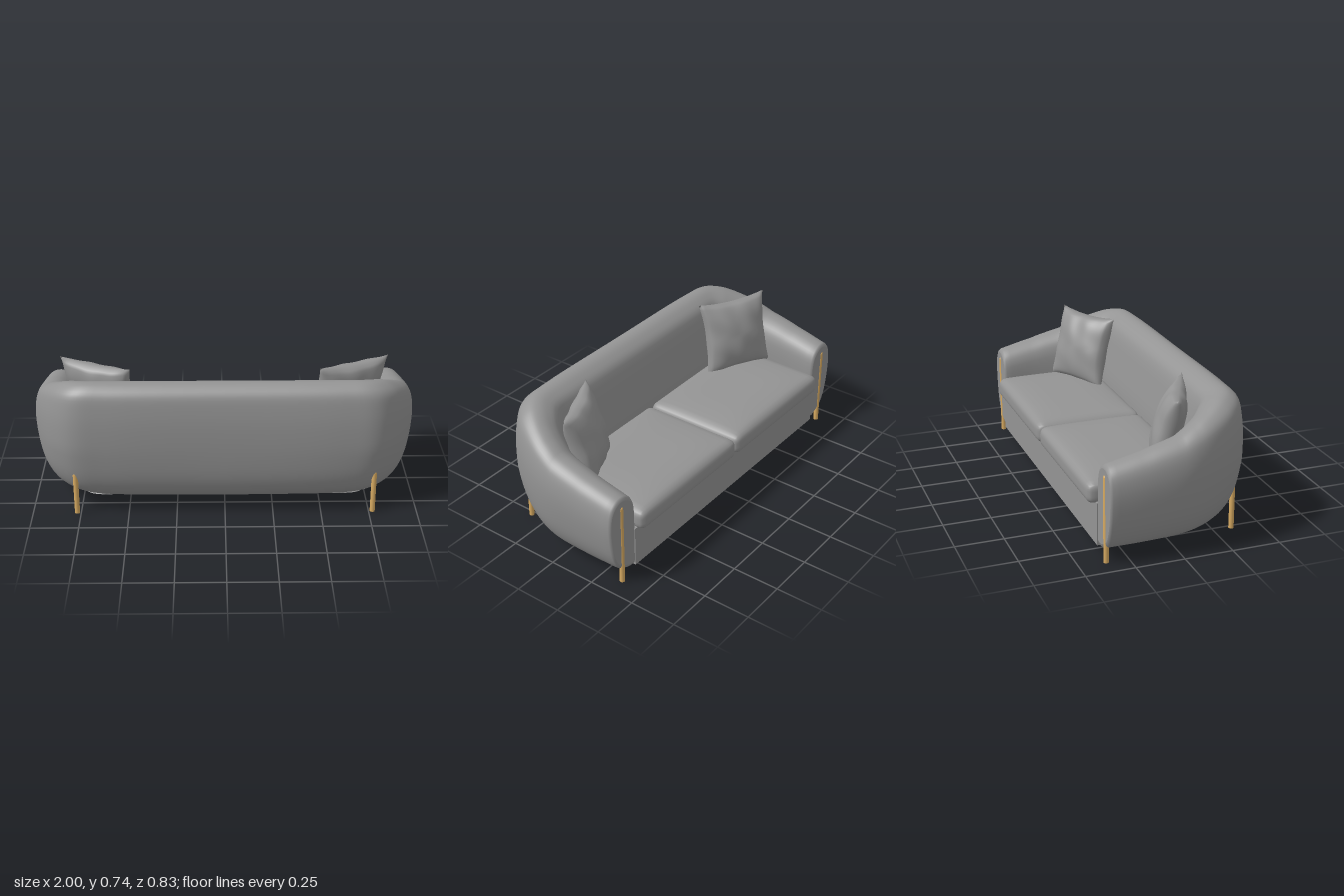
import * as THREE from 'three';
import { mergeVertices } from 'three/addons/utils/BufferGeometryUtils.js';

const V = (x, y, z = 0) => new THREE.Vector3(x, y, z);
const FLOOR = 0.048;

// weld a geometry's seams and give it smooth normals
function smooth(geo) {
  geo.deleteAttribute('uv');
  geo.deleteAttribute('normal');
  const g = mergeVertices(geo, 1e-4);
  g.computeVertexNormals();
  return g;
}

function addMesh(parent, name, geo, mat) {
  const m = new THREE.Mesh(geo, mat);
  m.name = name;
  parent.add(m);
  return m;
}

// plan outlines of one half, from the arm end round the corner to the middle of the back
const outerPlan = [[0.99, -0.358], [1, -0.18], [1, 0], [0.982, 0.1], [0.945, 0.2], [0.88, 0.31], [0.78, 0.388], [0.6, 0.41], [0, 0.413]];
const innerPlan = [[0.8, -0.358], [0.795, -0.18], [0.77, 0], [0.745, 0.06], [0.71, 0.11], [0.67, 0.135], [0.63, 0.15], [0.52, 0.15], [0, 0.15]];
const topHeight = [0.5, 0.542, 0.59, 0.63, 0.668, 0.705, 0.725, 0.73, 0.73];
const backBlend = [0, 0.05, 0.2, 0.4, 0.6, 0.8, 1, 1, 1];
const cornerTuck = [0, 0, 0, 0.1, 0.4, 0.8, 1, 0.4, 0];

// cross-sections: u runs from outer (0) to inner (1), v from bottom to top
const armSection = [[1, 0], [0.8, 0], [0.65, 0.025], [0.32, 0.11], [0.13, 0.28], [0.03, 0.5], [0, 0.7], [0.04, 0.84],
  [0.12, 0.92], [0.28, 0.98], [0.47, 1], [0.67, 0.98], [0.87, 0.91], [0.97, 0.8], [1, 0.5], [1, 0.2]];
const backSection = [[1, 0], [0.7, 0], [0.54, 0.015], [0.2, 0.12], [0.07, 0.25], [0.01, 0.44], [0, 0.66], [0.03, 0.81],
  [0.09, 0.925], [0.24, 0.985], [0.39, 1], [0.58, 0.975], [0.77, 0.9], [0.9, 0.68], [1, 0.45], [1, 0.2]];

// one wraparound shell: both arms and the back
function shellGeometry() {
  const curve = (pts) => new THREE.CatmullRomCurve3(pts);
  const outer = curve(outerPlan.map(([x, z]) => V(x, 0, z)));
  const inner = curve(innerPlan.map(([x, z]) => V(x, 0, z)));
  const params = curve(topHeight.map((h, i) => V(h, backBlend[i], cornerTuck[i])));
  const sectionCurves = [armSection, backSection].map((s) =>
    new THREE.CatmullRomCurve3(s.map(([u, v]) => V(u, v)), true));
  const N = 64, STEPS = 48;

  const half = [];
  for (let i = 0; i <= STEPS; i++) {
    const t = i / STEPS;
    const p = outer.getPoint(t), q = inner.getPoint(t), k = params.getPoint(t);
    const ring = [];
    for (let j = 0; j < N; j++) {
      const s = sectionCurves[0].getPoint(j / N).lerp(sectionCurves[1].getPoint(j / N), k.y);
      const v = Math.max(0, s.y);
      const tuck = s.x < 0.6 ? 0.1 * k.z * Math.max(0, 1 - v / 0.5) : 0;
      const pt = p.clone().lerp(q, s.x + tuck);
      pt.y = FLOOR + v * (k.x - FLOOR);
      ring.push(pt);
    }
    half.push(ring);
  }
  // rounded rim at the arm end
  const mid = half[0].reduce((a, b) => a.add(b), V(0, 0)).divideScalar(N);
  const rim = (scale, dz) => half[0].map((p) => p.clone().sub(mid).multiplyScalar(scale).add(mid).add(V(0, 0, -dz)));
  half.unshift(rim(0.9, 0.013), rim(0.96, 0.009));

  const mirrored = half.slice(0, -1).reverse().map((r) => r.map((p) => V(-p.x, p.y, p.z)));
  const rings = [...half, ...mirrored];
  const pos = [], idx = [];
  rings.forEach((r) => r.forEach((p) => pos.push(p.x, p.y, p.z)));
  for (let i = 0; i < rings.length - 1; i++) {
    for (let j = 0; j < N; j++) {
      const j2 = (j + 1) % N;
      const a = i * N + j, b = i * N + j2, c = a + N, d = b + N;
      idx.push(a, b, c, b, d, c);
    }
  }
  // flat arm ends
  [rings[0], rings[rings.length - 1]].forEach((ring, side) => {
    const start = pos.length / 3;
    pos.push(side ? -mid.x : mid.x, mid.y, ring[0].z);
    ring.forEach((p) => pos.push(p.x, p.y, p.z));
    for (let j = 0; j < N; j++) {
      const a = start + 1 + j, b = start + 1 + ((j + 1) % N);
      if (side) idx.push(start, a, b);
      else idx.push(start, b, a);
    }
  });
  const g = new THREE.BufferGeometry();
  g.setAttribute('position', new THREE.Float32BufferAttribute(pos, 3));
  g.setIndex(idx);
  g.computeVertexNormals();
  return g;
}

// rounded, crowned seat cushion
function cushionGeometry(w, h, d, r, crown) {
  const g = new THREE.BoxGeometry(w, h, d, 28, 8, 28);
  const pos = g.attributes.position, p = V(0, 0), core = V(0, 0);
  const lim = V(w / 2 - r, h / 2 - r, d / 2 - r);
  for (let i = 0; i < pos.count; i++) {
    p.fromBufferAttribute(pos, i);
    const a = 2 * p.x / w, b = 2 * p.z / d, top = p.y > 0;
    core.copy(p).clamp(lim.clone().negate(), lim);
    p.sub(core).normalize().multiplyScalar(r).add(core);
    if (top) p.y += crown * (1 - a ** 4) * (1 - b ** 4);
    pos.setXYZ(i, p.x, p.y, p.z);
  }
  return smooth(g);
}

// throw pillow with pinched corners and soft creases
function pillowGeometry(size, thick) {
  const g = new THREE.BoxGeometry(2, 2, 2, 28, 28, 1);
  const pos = g.attributes.position;
  for (let i = 0; i < pos.count; i++) {
    const x = pos.getX(i), y = pos.getY(i), s = Math.sign(pos.getZ(i));
    const fx = 1 - x * x, fy = 1 - y * y;
    const crease = 1 + 0.09 * Math.sin(9 * x + 3 * y * s) * Math.abs(y) + 0.07 * Math.sin(8 * y - 4 * x) * Math.abs(x);
    pos.setXYZ(i, x * size * (1 - 0.11 * fy), y * size * (1 - 0.09 * fx),
      s * thick * Math.pow(Math.max(0, fx * fy), 0.45) * crease);
  }
  return smooth(g);
}

export function createModel() {
  const model = new THREE.Group();
  model.name = 'sofa';
  const fabric = new THREE.MeshStandardMaterial({ color: 0x949494 });
  fabric.name = 'grey fabric';
  const wood = new THREE.MeshStandardMaterial({ color: 0xd8ab62 });
  wood.name = 'golden wood';

  addMesh(model, 'backAndArms', shellGeometry(), fabric);

  // seat base filling the inside of the shell
  const plan = [[0.81, -0.376], [0.81, -0.1], [0.78, 0.02], [0.72, 0.12], [0.64, 0.17]];
  const outline = [...plan, ...plan.slice().reverse().map(([x, z]) => [-x, z])];
  const base = new THREE.ExtrudeGeometry(new THREE.Shape(outline.map(([x, z]) => new THREE.Vector2(x, -z))),
    { depth: 0.22, bevelEnabled: false });
  base.rotateX(-Math.PI / 2);
  addMesh(model, 'seatBase', base, fabric).position.y = FLOOR - 0.001;

  const cushion = cushionGeometry(0.796, 0.108, 0.575, 0.035, 0.022);
  const pillow = pillowGeometry(0.205, 0.075);
  const frontLeg = new THREE.CapsuleGeometry(0.0135, 0.423, 6, 20);
  const rearLeg = new THREE.CapsuleGeometry(0.0135, 0.213, 6, 20);
  const foot = new THREE.CylinderGeometry(0.0135, 0.0135, 0.03, 20);

  for (const side of [1, -1]) {
    const label = side > 0 ? 'left' : 'right';
    addMesh(model, label + 'SeatCushion', cushion, fabric).position.set(side * 0.4, 0.308, -0.128);

    const p = addMesh(model, label + 'Pillow', pillow, fabric);
    p.position.set(side * 0.645, 0.547, 0.05);
    p.rotation.set(0.27, side * 0.44, 0, 'YXZ');

    // legs with flat feet and rounded tops
    for (const [name, geo, x, z, h] of [['FrontLeg', frontLeg, 0.9, -0.363, 0.45], ['RearLeg', rearLeg, 0.77, 0.347, 0.24]]) {
      const leg = new THREE.Group();
      leg.name = label + name;
      leg.position.set(side * x, 0, z);
      addMesh(leg, 'legShaft', geo, wood).position.y = h / 2 + 0.001;
      addMesh(leg, 'legFoot', foot, wood).position.y = 0.015;
      model.add(leg);
    }
  }
  return model;
}
